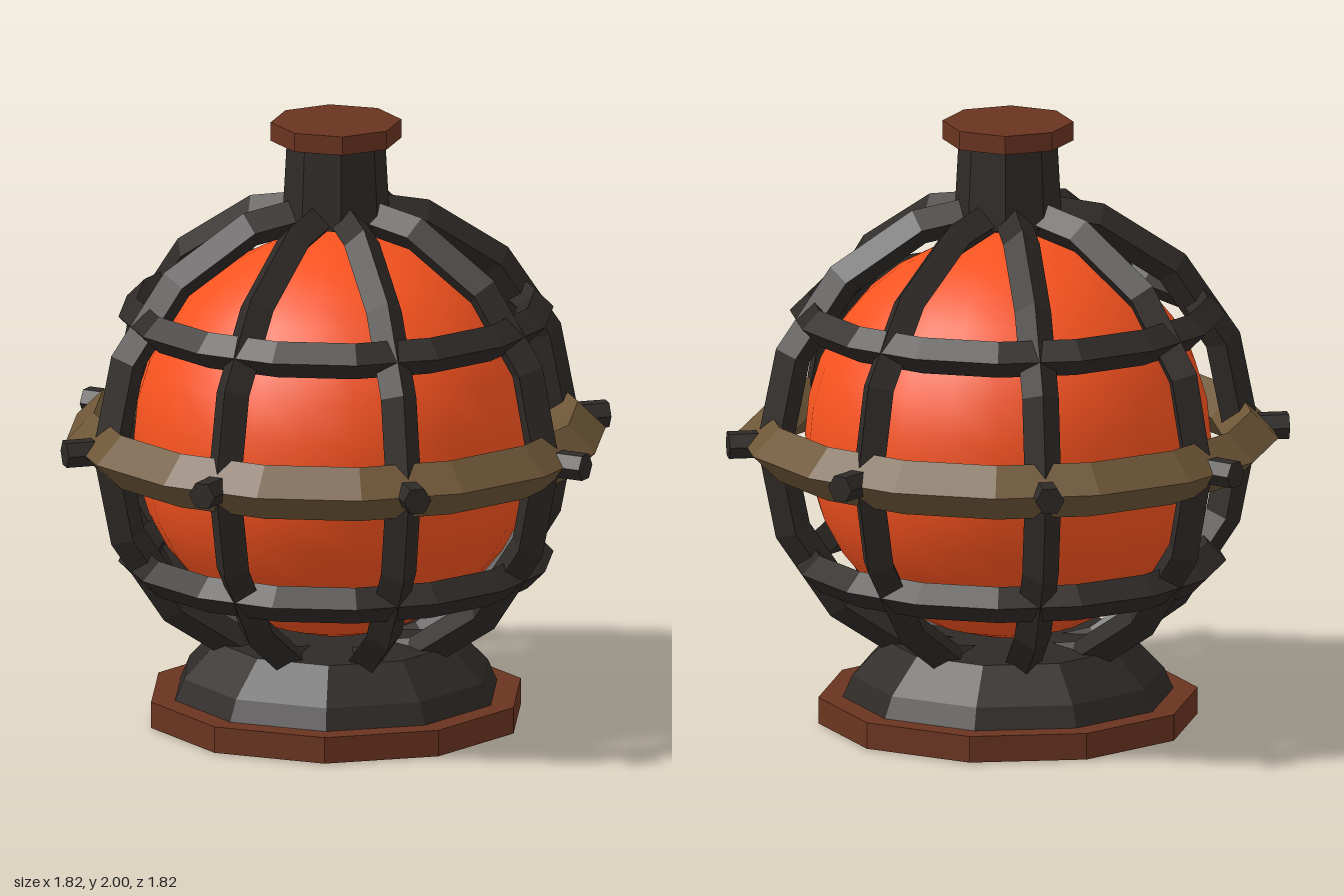
import * as THREE from 'three';

const CENTER_Y = 0.95;

function material(color, flatShading = true) {
  const m = new THREE.MeshStandardMaterial({ flatShading });
  m.color.setHex(color);
  return m;
}

export function createModel() {
  const model = new THREE.Group();
  model.name = 'cagedOrb';

  const iron = material(0x2e2a27);
  const brass = material(0x6e5637);
  const rust = material(0x6a3420);
  const glow = material(0xf9531f, false);

  function add(name, geometry, mat, y = 0, parent = model) {
    const mesh = new THREE.Mesh(geometry, mat);
    mesh.name = name;
    mesh.position.y = y;
    parent.add(mesh);
    return mesh;
  }

  // Horizontal hoop with a diamond cross-section
  const hoop = (radius, tube) =>
    new THREE.TorusGeometry(radius, tube, 4, 16).rotateX(Math.PI / 2);

  // Glowing ball
  add('orb', new THREE.SphereGeometry(0.66, 24, 16), glow, CENTER_Y);

  // Cage: four full vertical hoops make eight ribs, each ending in a peg
  const cage = new THREE.Group();
  cage.name = 'cage';
  model.add(cage);
  const ribGeometry = new THREE.TorusGeometry(0.765, 0.06, 4, 16);
  const pegGeometry = new THREE.CylinderGeometry(0.047, 0.047, 0.14, 6)
    .rotateZ(-Math.PI / 2).translate(0.85, 0, 0);
  for (let i = 0; i < 8; i++) {
    const angle = Math.PI / 16 + (i * Math.PI) / 4;
    if (i < 4) add('rib', ribGeometry, iron, CENTER_Y, cage).rotation.y = angle;
    add('peg', pegGeometry, iron, CENTER_Y, cage).rotation.y = angle;
  }
  add('upperHoop', hoop(0.65, 0.06), iron, 1.36, cage);
  add('lowerHoop', hoop(0.65, 0.06), iron, 0.54, cage);
  add('equatorBand', hoop(0.79, 0.09), brass, CENTER_Y, cage);

  // Neck and cap
  add('neck', new THREE.CylinderGeometry(0.16, 0.175, 0.28, 8), iron, 1.81);
  add('cap', new THREE.CylinderGeometry(0.213, 0.213, 0.062, 8), rust, 1.969);

  // Ten-sided foot: domed pedestal set into a plinth
  const footProfile = [[0, 0], [0.54, 0], [0.54, 0.09], [0.51, 0.16], [0.4, 0.275], [0, 0.285]]
    .map(([x, y]) => new THREE.Vector2(x, y));
  add('pedestal', new THREE.LatheGeometry(footProfile, 10).rotateY(Math.PI / 2), iron);
  add('plinth', new THREE.CylinderGeometry(0.62, 0.62, 0.087, 10).rotateY(Math.PI / 2), rust, 0.0465);

  return model;
}
